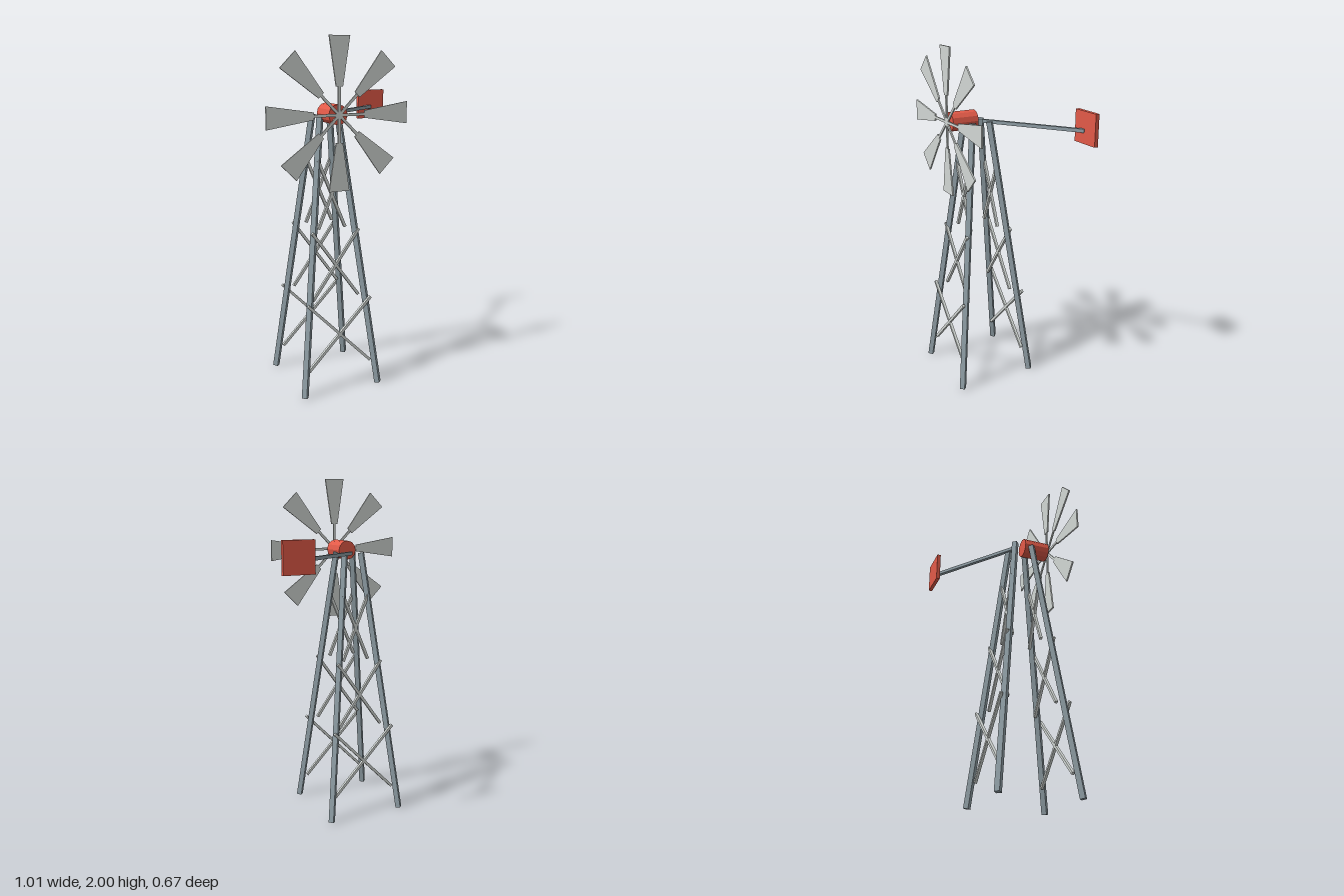
import * as THREE from 'three';

export function createModel() {
  const steel = new THREE.MeshStandardMaterial({ color: 0x909fa6 });
  steel.name = 'steel grey';
  const tin = new THREE.MeshStandardMaterial({ color: 0xd2d7d4 });
  tin.name = 'light grey';
  const red = new THREE.MeshStandardMaterial({ color: 0xe25a48 });
  red.name = 'red';

  const root = new THREE.Group();
  root.name = 'windPump';
  const CX = -0.089, CZ = 0.08;      // tower axis
  const HUB_Y = 1.585;

  const add = (parent, name, geometry, material) => {
    const mesh = new THREE.Mesh(geometry, material);
    mesh.name = name;
    parent.add(mesh);
    return mesh;
  };

  // Square bar between two points, turned in its parent's own frame
  const bar = (parent, name, a, b, size, material) => {
    const from = new THREE.Vector3(...a), to = new THREE.Vector3(...b);
    const mesh = add(parent, name, new THREE.BoxGeometry(size, size, from.distanceTo(to)), material);
    const turn = new THREE.Matrix4().lookAt(to, from, new THREE.Vector3(0, 1, 0));
    mesh.quaternion.setFromRotationMatrix(turn);
    mesh.position.copy(from).add(to).multiplyScalar(0.5);
  };

  // Tower: four leaning legs, cross braces on the front and back
  const tower = new THREE.Group();
  tower.name = 'tower';
  tower.position.set(CX, 0, CZ);
  root.add(tower);
  for (const sx of [-1, 1]) for (const sz of [-1, 1]) {
    bar(tower, 'leg', [sx * 0.233, 0.003, sz * 0.233], [sx * 0.054, 1.573, sz * 0.054], 0.03, steel);
  }
  const braceLevels = [
    { y0: 0.14, y1: 0.535, x: 0.195, z: 0.2 },
    { y0: 0.54, y1: 0.935, x: 0.143, z: 0.143 },
    { y0: 0.94, y1: 1.33, x: 0.083, z: 0.089 },
  ];
  for (const { y0, y1, x, z } of braceLevels) {
    for (const sz of [-1, 1]) for (const sx of [-1, 1]) {
      bar(tower, 'crossBrace', [-sx * x, y0, sz * z], [sx * x, y1, sz * z], 0.016, tin);
    }
  }

  // Gearbox drum
  const drumGeometry = new THREE.CylinderGeometry(0.056, 0.056, 0.157, 12).toNonIndexed();
  drumGeometry.computeVertexNormals();
  drumGeometry.rotateX(Math.PI / 2);
  add(root, 'gearbox', drumGeometry, red).position.set(CX, HUB_Y, 0.174);

  // Rotor: eight spokes with flared blades
  const rotor = new THREE.Group();
  rotor.name = 'rotor';
  rotor.position.set(CX, HUB_Y, 0.266);
  root.add(rotor);
  const outline = new THREE.Shape([
    new THREE.Vector2(-0.02, 0.15), new THREE.Vector2(0.02, 0.15),
    new THREE.Vector2(0.061, 0.415), new THREE.Vector2(-0.061, 0.415),
  ]);
  const bladeGeometry = new THREE.ExtrudeGeometry(outline, { depth: 0.009, bevelEnabled: false });
  bladeGeometry.translate(0, 0, -0.0045);
  const spokeGeometry = new THREE.BoxGeometry(0.015, 0.155, 0.008);
  spokeGeometry.translate(0, 0.0775, 0);
  for (let i = 0; i < 8; i++) {
    const angle = i * Math.PI / 4;
    add(rotor, 'blade', bladeGeometry, tin).rotation.z = angle;
    add(rotor, 'spoke', spokeGeometry, tin).rotation.z = angle;
  }

  // Tail boom and vane
  bar(root, 'tailBoom', [-0.083, 1.57, 0.04], [0.405, 1.57, -0.314], 0.02, steel);
  add(root, 'tailVane', new THREE.BoxGeometry(0.18, 0.178, 0.022), red).position.set(0.412, 1.587, -0.323);

  return root;
}
